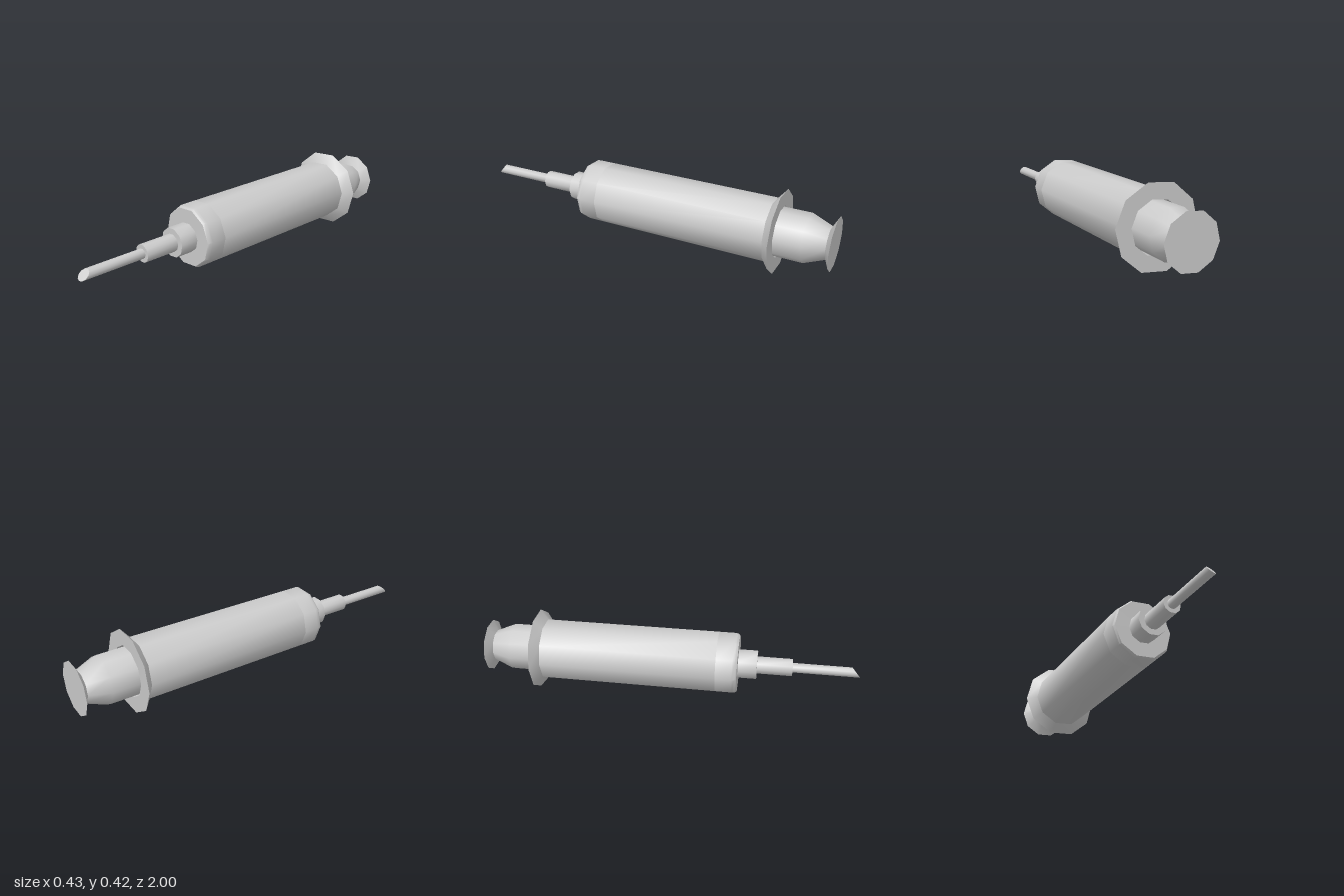
import * as THREE from 'three';
import { toCreasedNormals } from 'three/addons/utils/BufferGeometryUtils.js';

const SIDES = 10;
const AXIS_Y = 0.211;
const START = THREE.MathUtils.degToRad(94); // slight roll of the ten-sided sections

// Turn a profile of [radius, z] pairs, listed from rear to front, about the z axis.
function turned(profile) {
  const points = profile.map(([r, z]) => new THREE.Vector2(r, z));
  return new THREE.LatheGeometry(points, SIDES, START, Math.PI * 2).rotateX(Math.PI / 2);
}

export function createModel() {
  const group = new THREE.Group();
  const material = new THREE.MeshStandardMaterial({ color: 0xcccccc });

  function add(name, geometry) {
    const mesh = new THREE.Mesh(toCreasedNormals(geometry, 0.72), material);
    mesh.name = name;
    mesh.position.y = AXIS_Y;
    group.add(mesh);
  }

  // Barrel with flared finger flange and an open socket for the plunger
  add('barrel', turned([
    [0, -0.6], [0.135, -0.6], [0.135, -0.725], [0.217, -0.725],
    [0.165, -0.683], [0.165, 0.255], [0, 0.255],
  ]));

  // Plunger: straight rod, tapered neck, flared thumb disc
  add('plunger', turned([
    [0, -1], [0.14, -1], [0.084, -0.972], [0.127, -0.865], [0.127, -0.6], [0, -0.6],
  ]));

  // Front cap with a softened rim
  add('frontCap', turned([
    [0, 0.255], [0.165, 0.255], [0.165, 0.34], [0.163, 0.355], [0.156, 0.366], [0, 0.366],
  ]));

  // Stepped nozzle
  add('needleHub', turned([[0, 0.36], [0.078, 0.36], [0.078, 0.465], [0, 0.465]]));
  add('needleCollar', turned([[0, 0.46], [0.047, 0.46], [0.047, 0.65], [0, 0.65]]));

  // Needle, its front end sheared into a slanted tip
  const needle = turned([[0, 0.64], [0.026, 0.64], [0.026, 0.978], [0, 0.978]]);
  const p = needle.attributes.position;
  for (let i = 0; i < p.count; i++) {
    if (p.getZ(i) > 0.9) p.setZ(i, 0.978 - 0.8 * p.getY(i) - 0.3 * p.getX(i));
  }
  add('needle', needle);

  return group;
}
